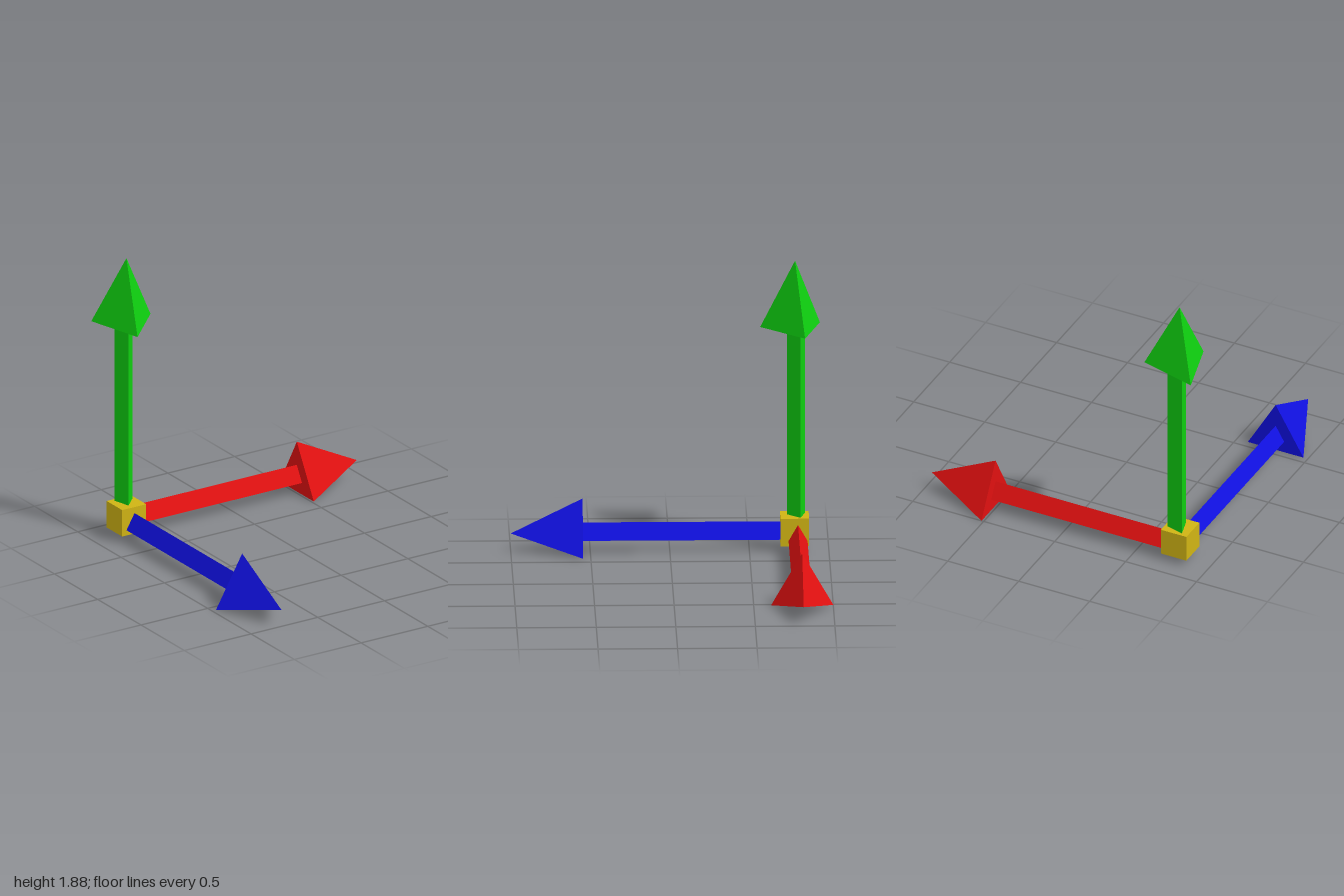
import * as THREE from 'three';

const paint = (name, color) => {
  const material = new THREE.MeshStandardMaterial({ color });
  material.name = name;
  return material;
};

// Split shared corners so every side is flat
const faceted = (geometry) => {
  const flat = geometry.toNonIndexed();
  flat.computeVertexNormals();
  return flat;
};

// Three-sided arrow built along +y; the group is then turned to its axis
function arrow(name, material, { origin, rotation, turn, base, tip, headShift = 0 }) {
  const group = new THREE.Group();
  group.name = name;

  const shaft = new THREE.Mesh(
    faceted(new THREE.CylinderGeometry(0.069, 0.069, base, 3, 1, false, turn)), material);
  shaft.name = name + 'Shaft';
  shaft.position.y = base / 2;

  const head = new THREE.Mesh(
    faceted(new THREE.ConeGeometry(0.226, tip - base, 3, 1, false, turn)), material);
  head.name = name + 'Head';
  head.position.set(0, (base + tip) / 2, headShift);

  group.add(shaft, head);
  group.position.set(...origin);
  group.rotation.set(...rotation);
  return group;
}

export function createModel() {
  const model = new THREE.Group();
  model.name = 'axisMarker';

  // Cube at the origin of the three arrows
  const cube = new THREE.Mesh(new THREE.BoxGeometry(0.18, 0.18, 0.18), paint('yellow', 0xd0b414));
  cube.name = 'originCube';
  cube.position.set(-0.775, 0.135, -0.785);
  model.add(cube);

  model.add(
    arrow('rightwardArrow', paint('red', 0xe01010), {
      origin: [-0.773, 0.115, -0.805], rotation: [0, 0, -Math.PI / 2],
      turn: -Math.PI / 2, base: 1.288, tip: 1.737,
    }),
    arrow('upwardArrow', paint('green', 0x0fd010), {
      origin: [-0.773, 0.135, -0.803], rotation: [0, 0, 0],
      turn: -Math.PI / 12, base: 1.303, tip: 1.751, headShift: 0.015,
    }),
    arrow('forwardArrow', paint('blue', 0x1010e0), {
      origin: [-0.773, 0.115, -0.785], rotation: [Math.PI / 2, 0, 0],
      turn: Math.PI, base: 1.333, tip: 1.785,
    }),
  );
  return model;
}
